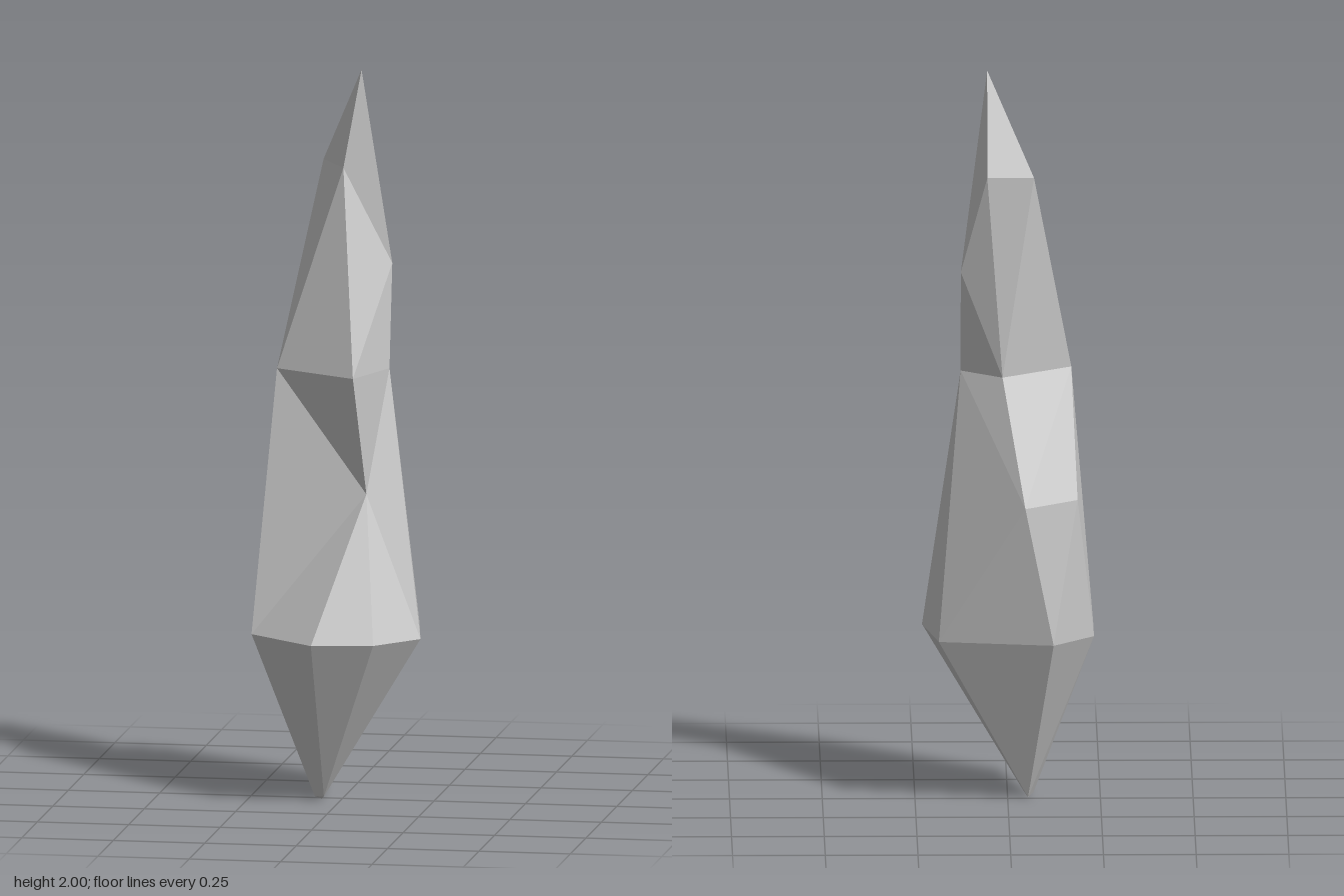
import * as THREE from 'three';

// Key points of the twisted shard, level by level: [x, y, z]
const at = (y, pts) => pts.map(([x, z]) => [x, y, z]);
const tip = [[-0.07, 0.01, 0.035], [-0.045, 0.01, 0.035], [-0.055, 0, 0.013]];
const belly = at(0.46, [[0.23, 0.1], [0.122, 0.228], [-0.043, 0.258], [-0.232, 0.1],
  [-0.232, -0.067], [-0.122, -0.194], [0.187, -0.14]]);
const [waistFront, waistLeft, waistBack] = at(0.85, [[0.08, 0.088], [-0.187, -0.14], [-0.045, -0.26]]);
const [midFront, midLeft, midBack, midRight] = at(1.18,
  [[0.058, 0.176], [-0.172, 0.043], [0.015, -0.104], [0.127, -0.008]]);
const shoulder = [0.127, 1.46, -0.053];
const [neckFront, neckLeft, neckBack] = at(1.73, [[0.006, 0.022], [-0.07, -0.107], [0.056, -0.107]]);
const peak = [0.055, 2, 0.018];

// Flat-faceted mesh from a list of triangles
function facets(name, triangles) {
  const geometry = new THREE.BufferGeometry();
  geometry.setAttribute('position', new THREE.Float32BufferAttribute(triangles.flat(2), 3));
  geometry.computeVertexNormals();
  const material = new THREE.MeshStandardMaterial({ color: 0xcccccc, flatShading: true });
  const mesh = new THREE.Mesh(geometry, material);
  mesh.name = name;
  return mesh;
}

// Cone under the belly, ending in a tiny three-cornered tip
function taperedBase() {
  const [tl, tr, tb] = tip;
  const target = [tr, tr, tl, tl, tb, tb, tr];
  const tris = [[tl, tb, tr]];
  belly.forEach((p, i) => {
    const previous = target[(i + 6) % 7];
    tris.push([p, belly[(i + 1) % 7], target[i]]);
    if (previous !== target[i]) tris.push([p, target[i], previous]);
  });
  return facets('taperedBase', tris);
}

// Wide lower body, pinched at the front of the waist
function lowerBody() {
  const [b0, b1, b2, b3, b4, b5, b6] = belly;
  return facets('lowerBody', [
    [b1, b0, waistFront], [b2, b1, waistFront], [b3, b2, waistFront],
    [b3, waistFront, midLeft], [b4, b3, midLeft], [b4, midLeft, waistLeft],
    [b5, b4, waistLeft], [b5, waistLeft, waistBack], [b6, b5, waistBack],
    [b6, waistBack, midRight], [b0, b6, midRight], [b0, midRight, waistFront],
    [waistFront, midRight, midFront], [waistFront, midFront, midLeft],
    [waistBack, waistLeft, midLeft], [waistBack, midLeft, midBack],
    [waistBack, midBack, midRight],
  ]);
}

// Narrow upper body, leaning back
function upperBody() {
  return facets('upperBody', [
    [midLeft, midFront, neckFront], [midFront, midRight, shoulder],
    [midFront, shoulder, neckFront], [midLeft, neckFront, neckLeft],
    [midBack, midLeft, neckLeft], [midBack, neckLeft, neckBack],
    [midRight, midBack, shoulder], [midBack, neckBack, shoulder],
  ]);
}

// Pointed top
function pointedTop() {
  const rim = [shoulder, neckFront, neckLeft, neckBack];
  return facets('pointedTop', rim.map((p, i) => [p, peak, rim[(i + 1) % 4]]));
}

export function createModel() {
  const group = new THREE.Group();
  group.name = 'shard';
  group.add(taperedBase(), lowerBody(), upperBody(), pointedTop());
  return group;
}
